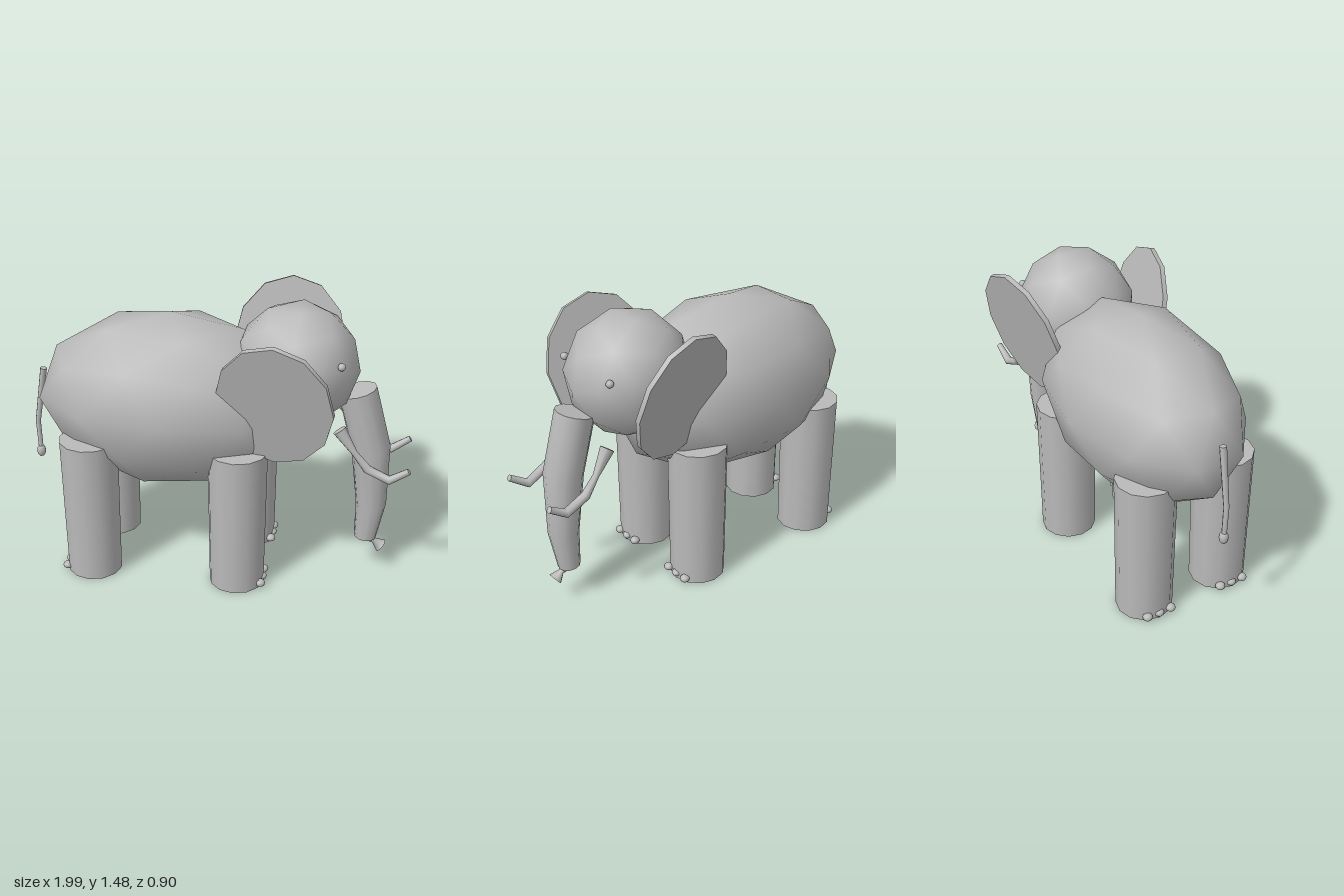
import * as THREE from 'three';

const grey = new THREE.MeshStandardMaterial({ color: 0xbababa });
grey.name = 'elephant grey';

// Faceted ball with a vertex straight up and an upper vertex towards +x
function ball(rx, ry, rz, tilt = 0) {
  const g = new THREE.IcosahedronGeometry(1, 1);
  g.rotateX(-Math.atan2(1 + Math.sqrt(5), 2));
  g.rotateY(Math.PI / 2);
  g.rotateZ(tilt);
  g.scale(rx, ry, rz);
  return g;
}

// Capped round limb through stations [x, y, z, radius]
function limb(stations, sides = 12) {
  const pos = [], index = [];
  const pts = stations.map((s) => new THREE.Vector3(s[0], s[1], s[2]));
  const zAxis = new THREE.Vector3(0, 0, 1);
  const rings = pts.map((p, k) => {
    const t = new THREE.Vector3();
    if (k > 0) t.add(p.clone().sub(pts[k - 1]).normalize());
    if (k < pts.length - 1) t.add(pts[k + 1].clone().sub(p).normalize());
    t.normalize();
    const u = zAxis.clone().cross(t).normalize();
    const v = t.clone().cross(u);
    return Array.from({ length: sides }, (_, i) => {
      const a = (i / sides) * Math.PI * 2;
      return p.clone()
        .addScaledVector(u, Math.cos(a) * stations[k][3])
        .addScaledVector(v, Math.sin(a) * stations[k][3]);
    });
  });
  const push = (ring) => ring.forEach((p) => pos.push(p.x, p.y, p.z));
  rings.forEach(push);
  for (let k = 0; k < rings.length - 1; k++) {
    for (let i = 0; i < sides; i++) {
      const j = (i + 1) % sides;
      const a = k * sides, b = a + sides;
      index.push(a + i, a + j, b + i, a + j, b + j, b + i);
    }
  }
  // Caps have their own corners so the rims stay sharp
  [0, rings.length - 1].forEach((k, end) => {
    const base = pos.length / 3;
    push(rings[k]);
    for (let i = 1; i < sides - 1; i++) {
      if (end) index.push(base, base + i, base + i + 1);
      else index.push(base, base + i + 1, base + i);
    }
  });
  const g = new THREE.BufferGeometry();
  g.setAttribute('position', new THREE.Float32BufferAttribute(pos, 3));
  g.setIndex(index);
  g.computeVertexNormals();
  return g;
}

export function createModel() {
  const model = new THREE.Group();
  model.name = 'elephant';
  const add = (name, geometry, x = 0, y = 0, z = 0) => {
    const mesh = new THREE.Mesh(geometry, grey);
    mesh.name = name;
    mesh.position.set(x, y, z);
    model.add(mesh);
    return mesh;
  };

  // Body and head
  add('body', ball(0.705, 0.47, 0.415), -0.25, 0.93, 0);
  add('head', ball(0.32, 0.322, 0.302, -0.53), 0.39, 1.163, 0);

  // Trunk with a flared finger at the end
  add('trunk', limb([
    [0.7, 1.043, 0.005, 0.1],
    [0.785, 0.73, 0.005, 0.1],
    [0.805, 0.4, 0.004, 0.079],
    [0.785, 0.193, 0.004, 0.058],
  ]));
  add('trunkTip', limb([
    [0.765, 0.22, 0.004, 0.045],
    [0.835, 0.168, 0.004, 0.015],
    [0.872, 0.138, 0.004, 0.037],
  ], 10));

  // Tail and tuft
  add('tail', limb([
    [-0.93, 1.04, 0, 0.018],
    [-0.982, 0.73, 0, 0.014],
    [-0.978, 0.57, 0, 0.013],
  ], 8));
  add('tailTuft', ball(0.024, 0.036, 0.024), -0.977, 0.55, 0);

  for (const s of [1, -1]) {
    const side = s > 0 ? 'left' : 'right';
    const front = s > 0 ? 'Left' : 'Right';

    // Ears: thin ovals leaning outwards, the one at -z set higher
    const earShape = new THREE.CylinderGeometry(1, 1, 0.026, 12);
    earShape.rotateX(Math.PI / 2);
    earShape.scale(0.295, 0.35, 1);
    const ear = add('ear' + front, earShape, 0.32, s > 0 ? 1.08 : 1.133, s * 0.34);
    ear.rotation.set(s * 0.25, -s * 0.15, 0);

    // Eyes
    add('eye' + front, ball(0.02, 0.02, 0.02), 0.625, 1.243, s * 0.19);

    // Tusks
    add('tusk' + front, limb([
      [0.628, 0.885, s * 0.152, 0.036],
      [0.71, 0.772, s * 0.168, 0.016],
      [0.778, 0.69, s * 0.175, 0.024],
      [0.89, 0.635, s * 0.172, 0.024],
      [0.985, 0.697, s * 0.18, 0.017],
    ], 8));

    // Legs, with three toes in front on the forelegs and behind on the hind legs
    const z = s > 0 ? 0.23 : -0.22;
    for (const [name, x, toeX] of [['foreleg', 0.13, 0.265], ['hindLeg', -0.64, -0.775]]) {
      const leg = new THREE.CylinderGeometry(0.153, 0.144, 0.77, 12);
      add(`${side} ${name}`, leg, x, 0.385, z);
      for (const dz of [-0.068, 0, 0.068]) {
        add(`${side} ${name} toe`, ball(0.026, 0.021, 0.026), toeX, 0.027, z + dz - s * 0.004);
      }
    }
  }
  return model;
}
